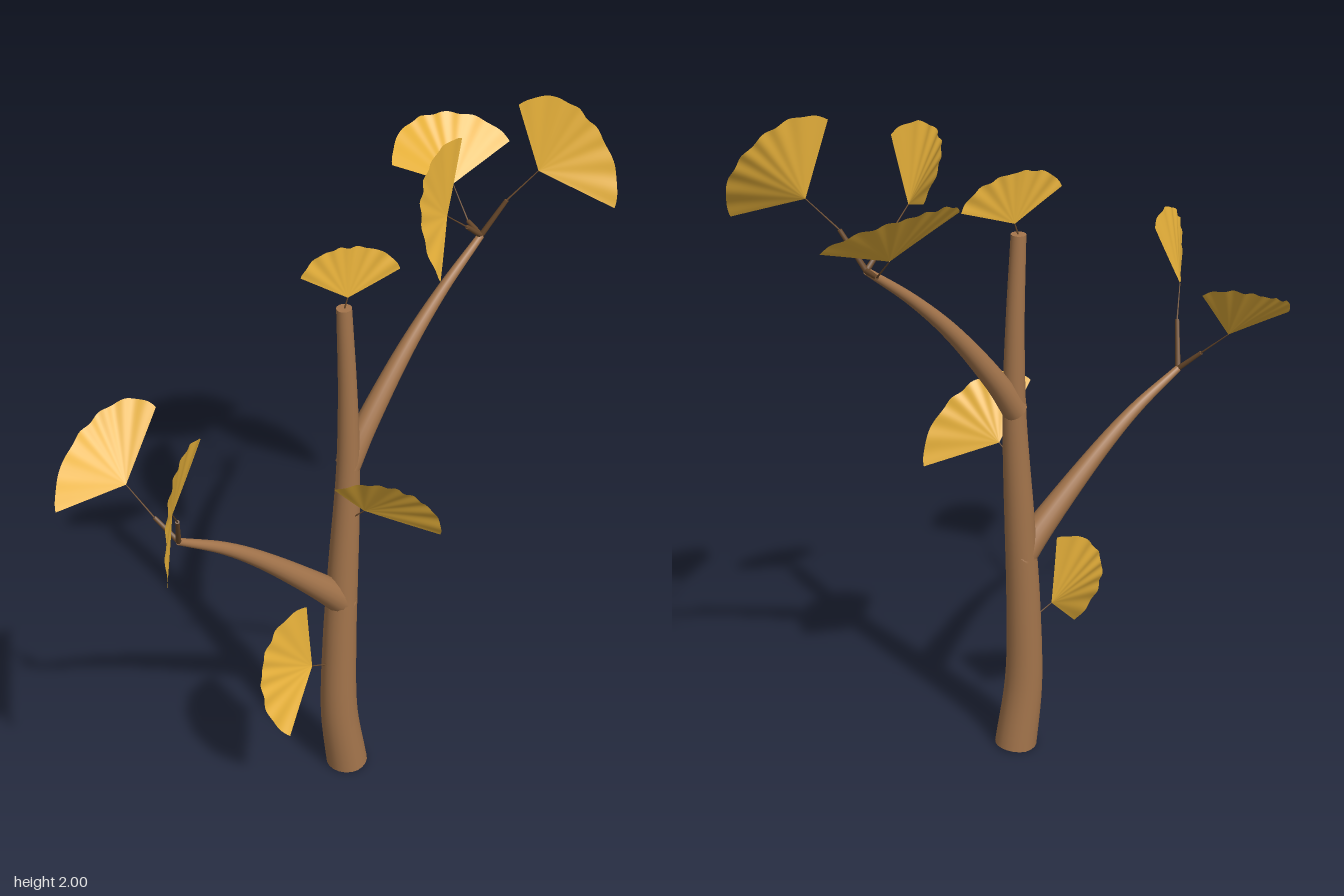
import * as THREE from 'three';
import { mergeGeometries } from 'three/addons/utils/BufferGeometryUtils.js';

const bark = new THREE.MeshStandardMaterial({ color: 0xa4754c });
bark.name = 'bark brown';
const twigBrown = new THREE.MeshStandardMaterial({ color: 0x6b4a2c });
twigBrown.name = 'twig brown';
const gold = new THREE.MeshStandardMaterial({ color: 0xe6b03a, side: THREE.DoubleSide });
gold.name = 'golden leaf';

const vec = (p) => new THREE.Vector3(...p);

// Tapered tube through points, capped at both ends; radii are spread evenly along it
function limb(name, points, radii, material, sides = 16, segments = 24) {
  const curve = new THREE.CatmullRomCurve3(points.map(vec));
  const tube = new THREE.TubeGeometry(curve, segments, 1, sides);
  const pos = tube.attributes.position;
  const v = new THREE.Vector3();
  for (let i = 0; i <= segments; i++) {
    const centre = curve.getPointAt(i / segments);
    const k = (i / segments) * (radii.length - 1);
    const a = Math.min(Math.floor(k), radii.length - 2);
    const r = THREE.MathUtils.lerp(radii[a], radii[a + 1], k - a);
    for (let j = 0; j <= sides; j++) {
      const n = i * (sides + 1) + j;
      v.fromBufferAttribute(pos, n).sub(centre).multiplyScalar(r).add(centre);
      pos.setXYZ(n, v.x, Math.max(v.y, 0), v.z);
    }
  }
  const caps = [0, 1].map((t) => {
    const dir = curve.getTangentAt(t).multiplyScalar(t ? 1 : -1);
    const cap = new THREE.CircleGeometry(t ? radii[radii.length - 1] : radii[0], sides);
    cap.applyQuaternion(new THREE.Quaternion().setFromUnitVectors(new THREE.Vector3(0, 0, 1), dir));
    const c = curve.getPointAt(t);
    cap.translate(c.x, c.y, c.z);
    const p = cap.attributes.position;
    for (let i = 0; i < p.count; i++) p.setY(i, Math.max(p.getY(i), 0));
    return cap;
  });
  const mesh = new THREE.Mesh(mergeGeometries([tube, ...caps]), material);
  mesh.name = name;
  return mesh;
}

// Softly pleated fan blade: a lobed outer edge from one corner over the tip to the other
function leafBlade(base, cornerA, tip, cornerB) {
  const o = vec(base);
  const [a, m, b] = [cornerA, tip, cornerB].map((p) => vec(p).sub(o));
  const normal = b.clone().sub(a).cross(m).normalize();
  const cols = 64, rows = 6;
  const positions = [], index = [];
  for (let i = 0; i <= rows; i++) {
    for (let j = 0; j <= cols; j++) {
      const s = i / rows, t = (j / cols) * 2 - 1;
      const inside = 1 - t * t;
      const lobes = 1 + inside * (0.28 * t * t - 0.015 * Math.cos(t * Math.PI * 5));
      const p = new THREE.Vector3()
        .addScaledVector(a, (t * t - t) / 2)
        .addScaledVector(m, inside)
        .addScaledVector(b, (t * t + t) / 2)
        .multiplyScalar(s * lobes)
        .addScaledVector(normal, 0.0025 * s * s * Math.cos(t * Math.PI * 7))
        .add(o);
      positions.push(p.x, p.y, p.z);
      if (i < rows && j < cols) {
        const n = i * (cols + 1) + j, up = n + cols + 1;
        if (i > 0) index.push(n, n + 1, up + 1);
        index.push(n, up + 1, up);
      }
    }
  }
  const geometry = new THREE.BufferGeometry();
  geometry.setAttribute('position', new THREE.Float32BufferAttribute(positions, 3));
  geometry.setIndex(index);
  geometry.computeVertexNormals();
  const mesh = new THREE.Mesh(geometry, gold);
  mesh.name = 'leafBlade';
  return mesh;
}

const leftTip = [0.51, 1.59, -0.08], rightTip = [-0.52, 1.05, 0.055];

// from: start of the stalk; knee: end of the woody twig, if there is one
const leaves = [
  { name: 'rightFrontLeaf', from: rightTip, knee: [-0.555, 1.17, 0.12], base: [-0.6, 1.25, 0.18],
    a: [-0.715, 1.17, 0.36], tip: [-0.655, 1.415, 0.285], b: [-0.5, 1.44, 0.165] },
  { name: 'rightBackLeaf', from: rightTip, knee: [-0.56, 1.11, 0], base: [-0.6, 1.185, -0.075],
    a: [-0.82, 1.2, -0.045], tip: [-0.64, 1.33, -0.19], b: [-0.47, 1.35, -0.135] },
  { name: 'lowerTrunkLeaf', from: [-0.03, 0.39, 0.025], base: [-0.1, 0.42, 0.035],
    a: [-0.11, 0.63, 0.02], tip: [-0.275, 0.5, 0.055], b: [-0.23, 0.285, 0.125] },
  { name: 'frontTrunkLeaf', from: [0.025, 0.9, 0.04], base: [0.045, 0.94, 0.075],
    a: [-0.08, 1.085, 0.12], tip: [0.095, 1.06, 0.2], b: [0.22, 0.86, 0.19] },
  { name: 'topLeaf', from: [0.02, 1.565, 0.008], base: [0.03, 1.6, 0.01],
    a: [-0.1, 1.69, -0.01], tip: [0.04, 1.745, 0], b: [0.18, 1.65, 0.03] },
  { name: 'leftInnerLeaf', from: leftTip, knee: [0.45, 1.645, -0.06], base: [0.36, 1.725, -0.025],
    a: [0.235, 1.65, 0.14], tip: [0.235, 1.87, 0.04], b: [0.42, 1.93, -0.05] },
  { name: 'leftOuterLeaf', from: leftTip, knee: [0.565, 1.7, -0.045], base: [0.64, 1.785, -0.01],
    a: [0.58, 1.99, -0.03], tip: [0.76, 1.93, 0.035], b: [0.775, 1.71, 0.155] },
  { name: 'leftBackLeaf', from: leftTip, knee: [0.515, 1.597, -0.15], base: [0.52, 1.67, -0.235],
    a: [0.335, 1.775, -0.255], tip: [0.53, 1.825, -0.36], b: [0.72, 1.735, -0.255] },
];

export function createModel() {
  const tree = new THREE.Group();
  tree.name = 'sapling';

  // Trunk and two branches
  tree.add(
    limb('trunk',
      [[0.023, 0, 0.025], [-0.002, 0.2, 0.023], [0, 0.45, 0.02], [0.012, 0.7, 0.018],
        [0.03, 1.05, 0.015], [0.03, 1.3, 0.011], [0.02, 1.57, 0.008]],
      [0.06, 0.052, 0.047, 0.041, 0.033, 0.026, 0.021], bark, 20, 40),
    limb('rightBranch',
      [[0.015, 0.6, 0.018], [-0.05, 0.67, 0.024], [-0.26, 0.87, 0.038], [-0.38, 0.965, 0.046], rightTip],
      [0.045, 0.035, 0.026, 0.018, 0.01], bark),
    limb('leftBranch',
      [[0.03, 1.06, 0.012], [0.09, 1.155, 0], [0.24, 1.345, -0.03], [0.37, 1.475, -0.055], leftTip],
      [0.036, 0.03, 0.023, 0.016, 0.01], bark),
  );

  // Leaves, each with its thin stalk and, on the branches, a woody twig
  for (const { name, from, knee, base, a, tip, b } of leaves) {
    const leaf = new THREE.Group();
    leaf.name = name;
    if (knee) leaf.add(limb('twig', [from, knee], [0.008, 0.006], twigBrown, 8, 4));
    leaf.add(limb('stalk', [knee ?? from, base], [0.0025, 0.0015], twigBrown, 6, 4));
    leaf.add(leafBlade(base, a, tip, b));
    tree.add(leaf);
  }
  return tree;
}
